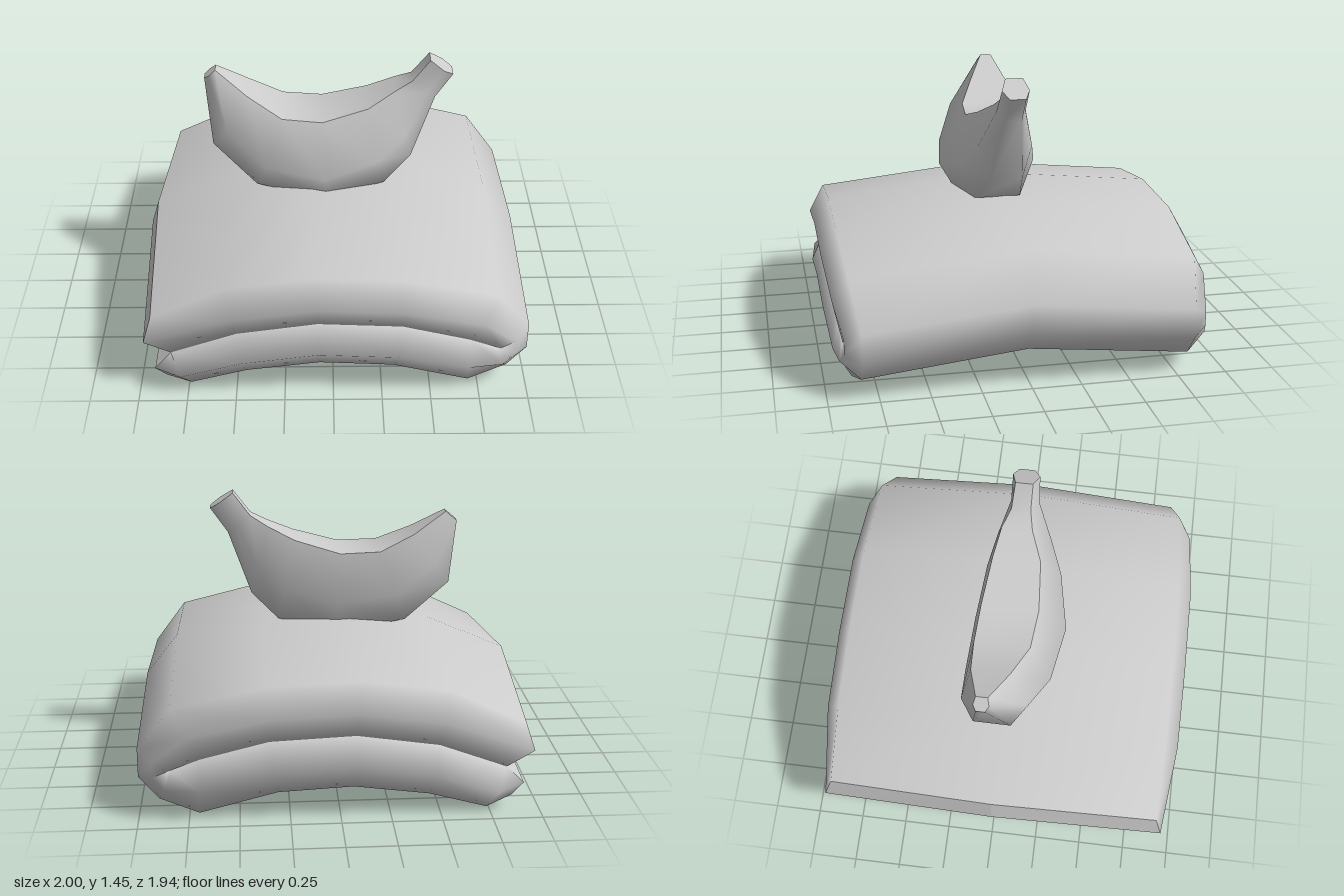
import * as THREE from 'three';

const grey = new THREE.MeshStandardMaterial({ color: 0xcccccc });
grey.name = 'plainGrey';

// Skin a row of cross-sections; smooth, or faceted when flat is set
function loft(name, rings, { closed = false, flat = false } = {}) {
  const n = rings[0].length, index = [];
  for (let i = 0; i < rings.length - 1; i++) {
    for (let j = 0; j < (closed ? n : n - 1); j++) {
      const k = (j + 1) % n;
      const a = i * n + j, b = i * n + k, c = a + n, d = b + n;
      index.push(a, b, d, a, d, c);
    }
  }
  let geo = new THREE.BufferGeometry();
  geo.setAttribute('position', new THREE.Float32BufferAttribute(rings.flat(2), 3));
  geo.setIndex(index);
  if (flat) geo = geo.toNonIndexed();
  geo.computeVertexNormals();
  const mesh = new THREE.Mesh(geo, grey);
  mesh.name = name;
  return mesh;
}

// Folded pad: padded sheet bent double, fold at +x, open end at -x
function foldedPad() {
  const RISE = 0.09; // the middle line sits higher than the edges
  // outer x, y, groove x, y, outer z, bulge z, groove z
  const columns = [
    [-0.92, 0.47, -0.83, 0.24, 0.89, 0.93, 0.89],
    [-0.54, 0.65, -0.49, 0.37, 0.89, 0.97, 0.90],
    [-0.10, 0.71, -0.08, 0.43, 0.89, 0.97, 0.90],
    [0.36, 0.69, 0.35, 0.41, 0.89, 0.97, 0.90],
    [0.83, 0.58, 0.69, 0.33, 0.87, 0.95, 0.91],
    [1.00, 0.36, 0.85, 0.27, 0.83, 0.91, 0.91],
    [1.00, 0.21, 0.85, 0.27, 0.83, 0.91, 0.91],
    [0.90, 0.09, 0.83, 0.27, 0.83, 0.93, 0.91],
    [0.70, 0.02, 0.69, 0.33, 0.86, 0.95, 0.91],
    [0.31, 0.12, 0.35, 0.41, 0.86, 0.97, 0.90],
    [-0.07, 0.14, -0.08, 0.43, 0.86, 0.97, 0.90],
    [-0.45, 0.09, -0.49, 0.37, 0.86, 0.97, 0.90],
    [-0.74, 0.01, -0.83, 0.24, 0.86, 0.95, 0.89],
    [-0.86, 0.08, -0.83, 0.24, 0.88, 0.93, 0.89],
  ];
  const last = columns.length - 1;
  const tips = { 0: [-0.96, 0.34], [last]: [-0.91, 0.17] };
  const shift = { 0: -0.04, [last]: 0.02 };
  const rings = columns.map(([x, y, gx, gy, z, mz, gz], i) => {
    const [mx, my] = tips[i] ?? [(x + gx) / 2, (y + gy) / 2];
    const s = shift[i] ?? 0;
    return [
      [x, y, -z], [x + s, y + RISE, 0], [x, y, z], [mx, my, mz],
      [gx, gy, gz], [gx + s, gy + RISE, 0], [gx, gy, -gz], [mx, my, -mz],
    ];
  });
  // each layer end narrows to a ridge line
  const ridge = (i) => {
    const [x, y] = tips[i];
    const back = [x, y, -0.93], mid = [x + shift[i], y + RISE, 0], front = [x, y, 0.93];
    return [back, mid, front, front, front, mid, back, back];
  };
  const group = new THREE.Group();
  group.name = 'foldedPad';
  group.add(
    loft('padSkin', rings, { closed: true }),
    loft('upperLayerEnd', [ridge(0), rings[0]], { closed: true, flat: true }),
    loft('lowerLayerEnd', [rings[last], ridge(last)], { closed: true, flat: true }),
  );
  return group;
}

// Banana: curved six-sided sweep with a scooped inner face
function banana() {
  // top x, y, bottom x, y, back ridge z, front ridge z, belly z, back z
  const stations = [
    [-0.61, 1.36, -0.67, 1.31, -0.11, -0.05, -0.04, -0.12],
    [-0.44, 1.25, -0.63, 0.98, -0.16, 0.04, 0.14, -0.20],
    [-0.26, 1.16, -0.40, 0.77, -0.17, 0.12, 0.24, -0.21],
    [-0.05, 1.15, -0.03, 0.70, -0.16, 0.14, 0.29, -0.20],
    [0.19, 1.22, 0.28, 0.78, -0.13, 0.12, 0.23, -0.17],
    [0.33, 1.29, 0.42, 0.92, -0.10, 0.06, 0.16, -0.13],
    [0.42, 1.34, 0.54, 1.25, -0.06, 0.04, 0.08, -0.07],
    [0.51, 1.46, 0.63, 1.38, -0.05, 0.04, 0.07, -0.07],
  ];
  const rings = stations.map(([tx, ty, bx, by, rb, rf, zf, zb]) => {
    const at = (t, z) => [tx + (bx - tx) * t, ty + (by - ty) * t, z];
    const mid = (zf + zb) / 2;
    return [
      at(0, rb), at(0, rf), at(0.58, zf),
      at(1, mid + (zf - mid) * 0.55), at(1, mid + (zb - mid) * 0.6), at(0.58, zb),
    ];
  });
  const centre = (ring) => {
    const c = [0, 1, 2].map((k) => ring.reduce((sum, p) => sum + p[k], 0) / ring.length);
    return ring.map(() => c);
  };
  const end = rings[rings.length - 1];
  const group = new THREE.Group();
  group.name = 'banana';
  group.add(
    loft('bananaInnerFace', rings.map((r) => r.slice(0, 2))),
    loft('bananaSkin', rings.map((r) => [...r.slice(1), r[0]])),
    loft('bananaTip', [centre(rings[0]), rings[0]], { closed: true, flat: true }),
    loft('bananaStemEnd', [end, centre(end)], { closed: true, flat: true }),
  );
  return group;
}

export function createModel() {
  const model = new THREE.Group();
  model.name = 'bananaOnFoldedPad';
  model.add(foldedPad(), banana());
  return model;
}
